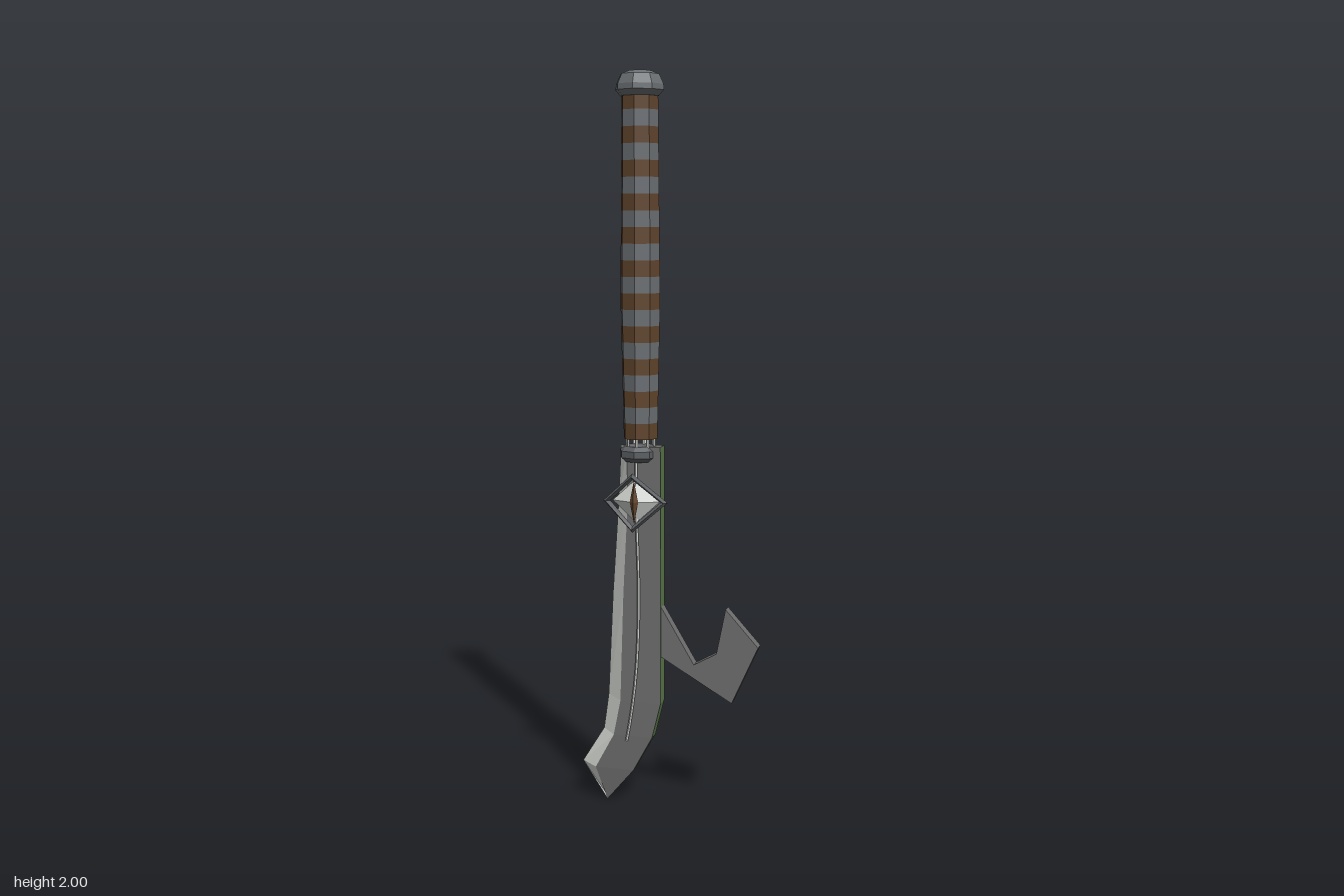
import * as THREE from 'three';

const CX = -0.082, CZ = -0.008; // axis of the grip

const mat = (name, color, extra = {}) => {
  const m = new THREE.MeshStandardMaterial({ color, flatShading: true, ...extra });
  m.name = name;
  return m;
};

// Flat-sided geometry from polygons (counter-clockwise seen from outside), one group per material
function facets(groups) {
  const pos = [], geo = new THREE.BufferGeometry();
  groups.forEach((polys, index) => {
    const start = pos.length / 3;
    for (const p of polys)
      for (let i = 1; i < p.length - 1; i++) pos.push(...p[0], ...p[i], ...p[i + 1]);
    geo.addGroup(start, pos.length / 3 - start, index);
  });
  geo.setAttribute('position', new THREE.Float32BufferAttribute(pos, 3));
  geo.computeVertexNormals();
  return geo;
}

export function createModel() {
  const steel = mat('dark steel', 0x6e6e6e);
  const edge = mat('bright edge', 0xd2d5d0, { side: THREE.DoubleSide });
  const green = mat('green spine', 0x5c7a4c);
  const iron = mat('iron', 0x5c5f62);
  const gripGrey = mat('grip grey', 0x6a6e72);
  const leather = mat('brown leather', 0x60442c);

  const model = new THREE.Group();
  model.name = 'hookedBlade';
  const add = (name, geo, material, x = 0, y = 0, z = 0, parent = model) => {
    const mesh = new THREE.Mesh(geo, material);
    mesh.name = name;
    mesh.position.set(x, y, z);
    parent.add(mesh);
    return mesh;
  };
  const lathe = pts => new THREE.LatheGeometry(pts.map(p => new THREE.Vector2(...p)), 8);

  // Blade: rows of [spine x, bevel x, edge x, y, edge y, half thickness], top to bottom
  const rows = [
    [-0.02, -0.113, -0.137, 1.01, 1.01, 0.02],
    [-0.02, -0.112, -0.145, 0.85, 0.85, 0.02],
    [-0.02, -0.125, -0.162, 0.6, 0.6, 0.02],
    [-0.02, -0.135, -0.176, 0.3, 0.31, 0.019],
    [-0.045, -0.155, -0.19, 0.2, 0.21, 0.018],
    [-0.1, -0.21, -0.252, 0.1, 0.11, 0.012],
    [-0.18, -0.18, -0.18, 0.005, 0.005, 0],
  ];
  const faces = [[], [], []]; // flats, bevels, spine
  const corners = ([s, b, e, y, ey, t], k) =>
    [[s, y, CZ + 0.005 + k * t], [b, y, CZ + 0.005 + k * t], [e, ey, CZ]];
  for (let i = 0; i < rows.length - 1; i++) {
    for (const k of [1, -1]) {
      const a = corners(rows[i], k), b = corners(rows[i + 1], k);
      for (const j of [0, 1]) {
        const q = [a[j], a[j + 1], b[j + 1], b[j]];
        faces[j].push(k > 0 ? q : q.reverse());
      }
    }
    const [f] = corners(rows[i], 1), [r] = corners(rows[i], -1);
    const [f2] = corners(rows[i + 1], 1), [r2] = corners(rows[i + 1], -1);
    faces[2].push([f, f2, r2, r]);
  }
  const tf = corners(rows[0], 1), tr = corners(rows[0], -1);
  faces[0].push([tf[0], tr[0], tr[1], tf[2], tf[1]]);
  add('blade', facets(faces), [steel, edge, green]);

  // Hook growing out of the spine
  const hook = new THREE.Shape([
    [-0.03, 0.585], [-0.02, 0.57], [0.072, 0.415], [0.135, 0.45], [0.16, 0.575],
    [0.25, 0.475], [0.178, 0.315], [-0.02, 0.43], [-0.03, 0.435],
  ].map(p => new THREE.Vector2(...p)));
  add('hook', new THREE.ExtrudeGeometry(hook, { depth: 0.032, bevelEnabled: false }),
    steel, 0, 0, CZ - 0.014);

  // Thin wires hanging along both blade faces
  for (const z of [0.029, -0.038]) {
    const path = new THREE.CatmullRomCurve3([
      [-0.082, 1.05], [-0.085, 0.88], [-0.078, 0.6], [-0.085, 0.4], [-0.1, 0.27], [-0.114, 0.19],
    ].map(([x, y]) => new THREE.Vector3(x, y, z)));
    add('wire', new THREE.TubeGeometry(path, 16, 0.004, 4), edge);
  }

  // Collar and the short pins joining it to the grip
  add('collar', lathe([[0, 0.968], [0.042, 0.968], [0.055, 0.98], [0.055, 0.998],
    [0.042, 1.01], [0, 1.01]]), iron, CX - 0.003, 0, CZ);
  for (let i = 0; i < 8; i++) {
    const a = i * Math.PI / 4;
    add('pin', new THREE.CylinderGeometry(0.004, 0.004, 0.05, 4), edge,
      CX + 0.038 * Math.sin(a), 1.02, CZ + 0.038 * Math.cos(a));
  }

  // Grip: alternating leather and grey bands, slightly swollen in the middle
  const bands = 21, y0 = 1.03, h = 0.91 / bands;
  const radius = t => t < 0.4 ? 0.047 + 0.02 * t : 0.055 - (t - 0.4) * 0.008;
  for (let i = 0; i < bands; i++) {
    const geo = new THREE.CylinderGeometry(radius((i + 1) / bands), radius(i / bands), h, 8);
    add('gripBand', geo, i % 2 ? gripGrey : leather, CX, y0 + (i + 0.5) * h, CZ);
  }

  // Pommel
  add('pommel', lathe([[0, 1.932], [0.052, 1.932], [0.066, 1.947], [0.065, 1.962],
    [0.053, 1.988], [0.03, 1.997], [0, 2]]), gripGrey, CX, 0, CZ);

  // Eye ornament: a bent diamond frame around a faceted eye
  const eye = new THREE.Group();
  eye.name = 'eyeOrnament';
  eye.position.set(-0.085, 0.863, 0);
  model.add(eye);
  // Ring corners: outer rim, raised ridge, inner rim, back
  const ring = [[1, 0], [0.9, 0.011], [0.78, 0], [0.9, -0.008]];
  const dirs = [[0.09, 0, 0.034], [0, 0.08, 0.062], [-0.09, 0, 0.034], [0, -0.08, 0.062]];
  const rim = (d, [s, dz]) => [d[0] * s, d[1] * s, d[2] + dz];
  const quads = [];
  dirs.forEach((d, i) => {
    const e = dirs[(i + 1) % 4];
    ring.forEach((r, j) => {
      const n = ring[(j + 1) % 4];
      quads.push([rim(d, r), rim(e, r), rim(e, n), rim(d, n)]);
    });
  });
  add('eyeFrame', facets([quads]), iron, 0, 0, 0, eye);
  const ball = new THREE.OctahedronGeometry(1);
  ball.scale(0.066, 0.06, 0.026);
  add('eyeball', ball, edge, 0, 0, 0.026, eye);
  const pupil = new THREE.OctahedronGeometry(1);
  pupil.scale(0.012, 0.058, 0.01);
  add('pupil', pupil, leather, 0, 0, 0.047, eye);

  return model;
}
